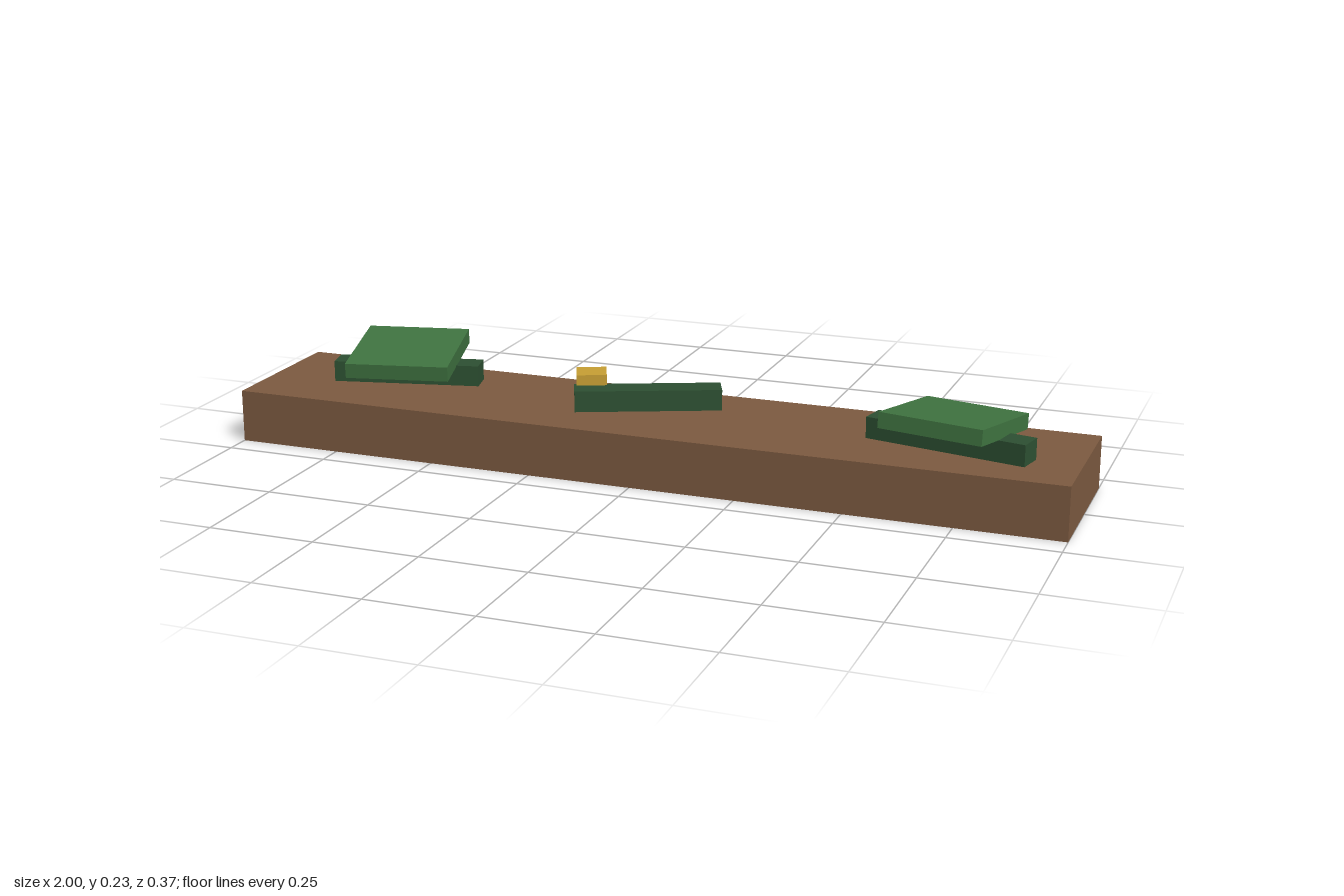
import * as THREE from 'three';

const material = (name, color) => {
  const m = new THREE.MeshStandardMaterial({ color, side: THREE.DoubleSide });
  m.name = name;
  return m;
};

// Thin-walled box without its underside, centred on its own origin
function openBox(w, h, d) {
  const geo = new THREE.BoxGeometry(w, h, d);
  const index = Array.from(geo.index.array);
  index.splice(18, 6); // drop the -y face
  geo.setIndex(index);
  geo.clearGroups();
  return geo;
}

export function createModel() {
  const group = new THREE.Group();
  const wood = material('brown wood', 0x7d5a40);
  const darkGreen = material('dark green', 0x2d5032);
  const green = material('leaf green', 0x3f7340);
  const gold = material('gold', 0xc79f33);
  const baseTop = 0.125;

  // Box placed by its centre, turned about y and then tilted about its own x axis
  const add = (name, mat, [w, h, d], [x, y, z], turn = 0, tilt = 0) => {
    const mesh = new THREE.Mesh(openBox(w, h, d), mat);
    mesh.name = name;
    mesh.position.set(x, y, z);
    mesh.rotation.set(THREE.MathUtils.degToRad(tilt), THREE.MathUtils.degToRad(turn), 0, 'YXZ');
    group.add(mesh);
  };

  // Long hollow base
  add('base', wood, [2, baseTop, 0.374], [0, baseTop / 2, 0]);

  // Low bars lying on the base
  const barY = baseTop + 0.025;
  add('rightBar', darkGreen, [0.357, 0.05, 0.0625], [-0.664, barY, -0.039], 13);
  add('middleBar', darkGreen, [0.345, 0.05, 0.0625], [-0.036, barY, -0.03], 23);
  add('leftBar', darkGreen, [0.385, 0.05, 0.0625], [0.7, barY, 0.025], -12);

  // Tilted slabs resting on the outer bars
  add('rightSlab', green, [0.25, 0.0365, 0.247], [-0.664, 0.194, -0.037], 13, 7);
  add('leftSlab', green, [0.249, 0.0365, 0.247], [0.706, 0.19, 0.022], -12, -6);

  // Small block at the end of the middle bar
  add('goldBlock', gold, [0.071, 0.075, 0.071], [-0.178, baseTop + 0.0375, -0.029], 23);

  return group;
}
